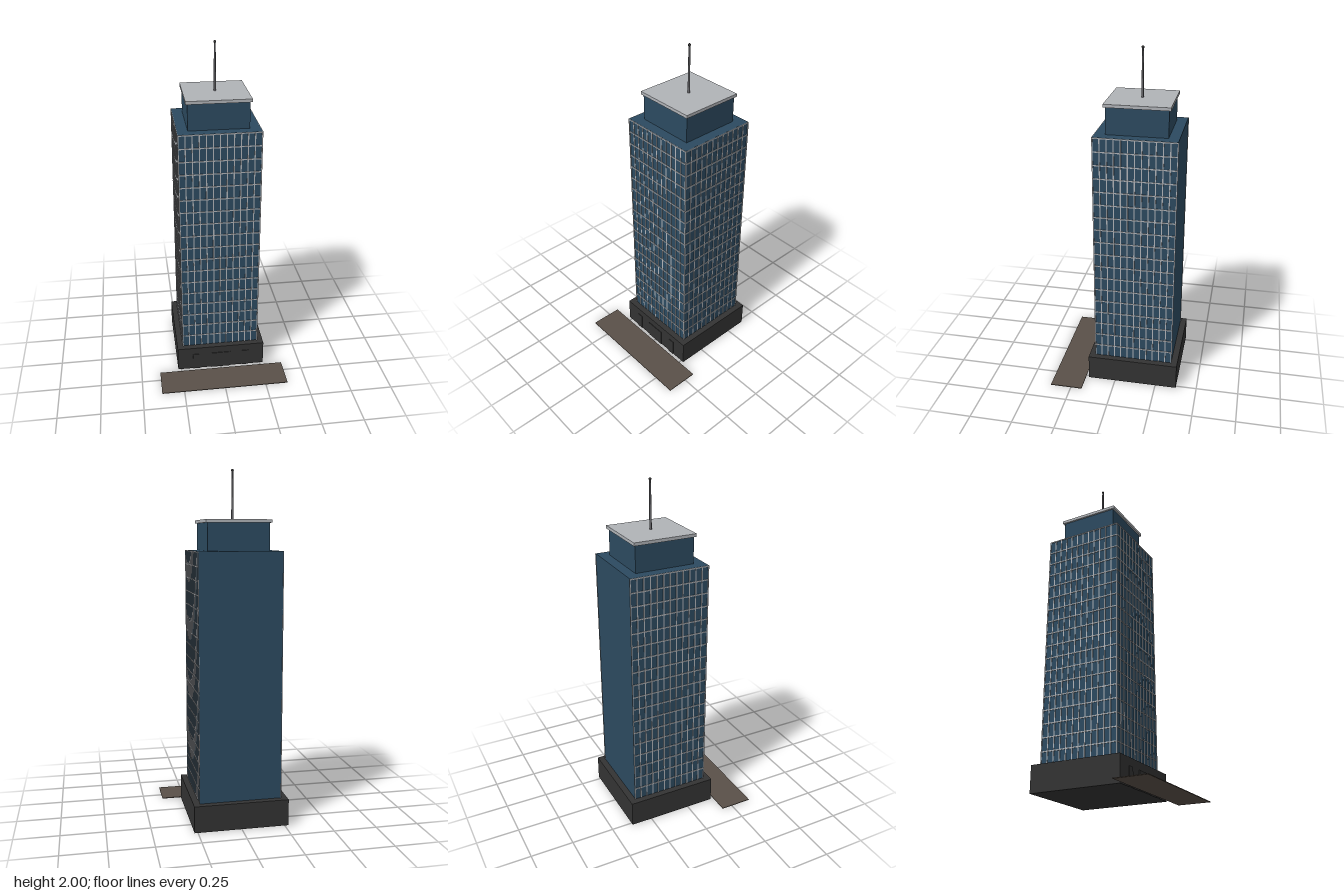
import * as THREE from 'three';

const paint = (name, color) => {
  const m = new THREE.MeshStandardMaterial({ color });
  m.name = name;
  return m;
};

export function createModel() {
  const glass = paint('blue glass', 0x2c4a60);
  const frame = paint('pale metal', 0xb0b3b7);
  const stone = paint('dark stone', 0x333333);
  const paving = paint('brown paving', 0x5a5048);
  const steel = paint('grey steel', 0x66666a);

  const model = new THREE.Group();
  model.name = 'officeTower';

  // Box given by its centre in x and z, and its bottom and top
  const box = (parent, name, mat, w, d, bottom, top, x, z) => {
    const mesh = new THREE.Mesh(new THREE.BoxGeometry(w, top - bottom, d), mat);
    mesh.position.set(x, (bottom + top) / 2, z);
    mesh.name = name;
    parent.add(mesh);
    return mesh;
  };

  const cz = -0.107;              // tower axis
  const side = 0.465;             // shaft width
  const y0 = 0.155, y1 = 1.55;    // shaft bottom and top

  // Main masses
  box(model, 'podium', stone, 0.54, 0.54, 0.003, y0, 0, cz);
  box(model, 'shaft', glass, side, side, y0, y1, 0, cz);
  box(model, 'crown', glass, 0.346, 0.346, y1, 1.702, 0, cz);
  box(model, 'roofCap', frame, 0.367, 0.367, 1.702, 1.72, 0, cz);
  box(model, 'forecourt', paving, 0.77, 0.192, 0, 0.004, 0, 0.279);

  // Entrance panels on the podium front
  for (const [x, w] of [[-0.155, 0.04], [0, 0.12], [0.155, 0.04]])
    box(model, 'entrancePanel', stone, w, 0.004, 0.003, 0.11, x, 0.165);

  // Window grid on the front and both sides; the back stays plain
  const columns = 12, floors = 18, depth = 0.003;
  for (const [name, turn] of [['front', 0], ['left', 1], ['right', -1]]) {
    const grid = new THREE.Group();
    grid.name = name + 'WindowGrid';
    grid.position.z = cz;
    grid.rotation.y = turn * Math.PI / 2;
    const z = side / 2 + depth / 2;
    for (let i = 0; i <= columns; i++)
      box(grid, 'mullion', frame, 0.006, depth, y0, y1 - 0.001, (i / columns - 0.5) * side, z);
    for (let i = 1; i <= floors; i++) {
      const y = y0 + (y1 - y0) * i / floors;
      box(grid, 'floorBand', frame, side, depth + 0.001, y - 0.007, y - 0.0005, 0, z);
    }
    model.add(grid);
  }

  // Antenna with a ball tip
  const mast = new THREE.Mesh(new THREE.CylinderGeometry(0.005, 0.007, 0.272, 12), steel);
  mast.name = 'antenna';
  mast.position.set(0, 1.856, cz);
  const tip = new THREE.Mesh(new THREE.SphereGeometry(0.008, 12, 8), stone);
  tip.name = 'antennaTip';
  tip.position.set(0, 1.992, cz);
  model.add(mast, tip);

  return model;
}
